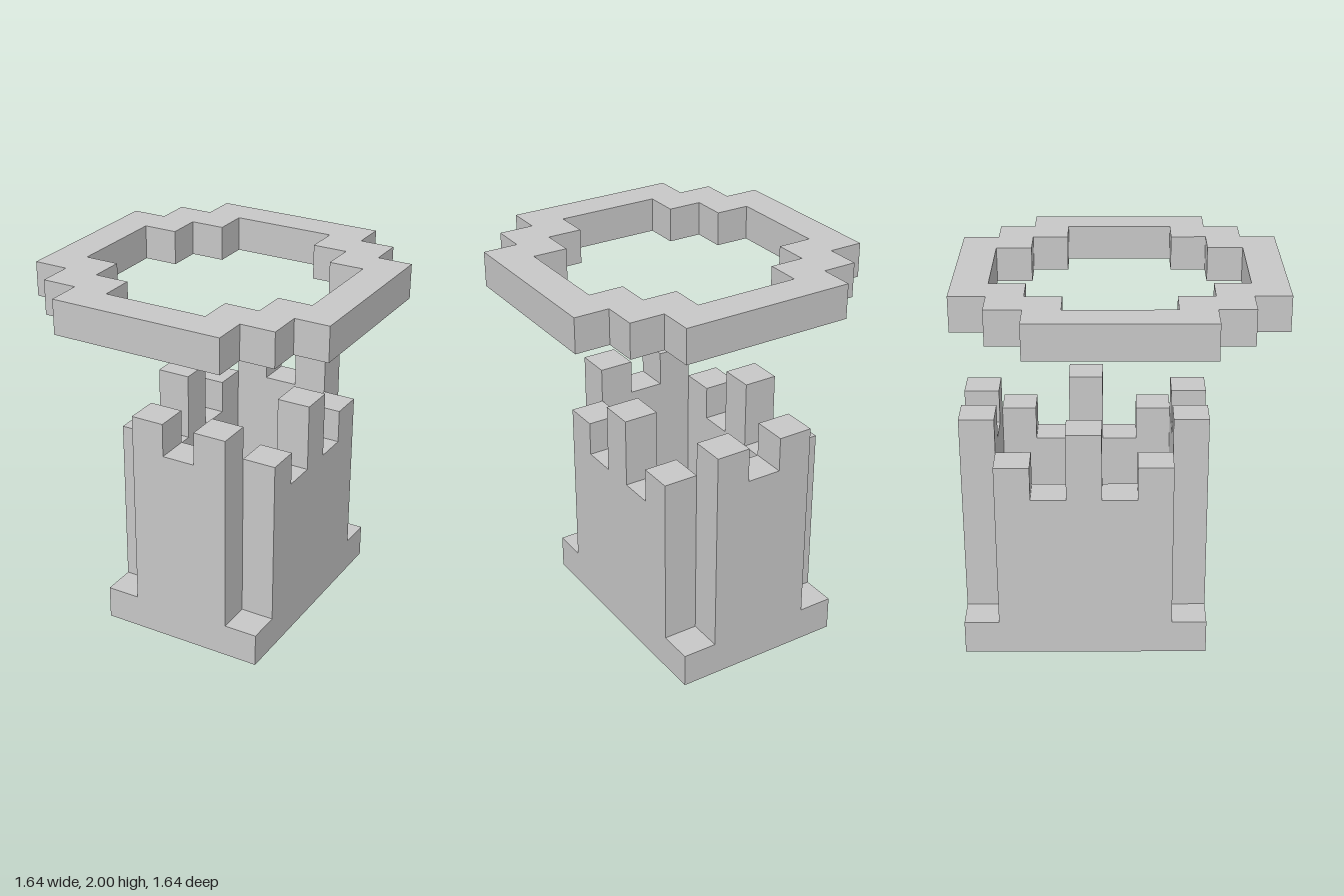
import * as THREE from 'three';

const U = 2 / 11; // one block

// Extrude a clockwise block outline along z, centred on z = 0; the hole runs the other way
function slab(points, depth, hole) {
  const toVec = ([x, y]) => new THREE.Vector2(x * U, y * U);
  const shape = new THREE.Shape(points.map(toVec));
  if (hole) shape.holes.push(new THREE.Path(hole.map(toVec).reverse()));
  const geo = new THREE.ExtrudeGeometry(shape, { depth: depth * U, bevelEnabled: false });
  return geo.translate(0, 0, -depth * U / 2);
}

// Mirror a quarter outline into a closed clockwise loop
function fourfold(quarter) {
  const back = [...quarter].reverse();
  return [
    ...quarter,
    ...back.map(([x, y]) => [x, -y]),
    ...quarter.map(([x, y]) => [-x, -y]),
    ...back.map(([x, y]) => [-x, y]),
  ];
}

// Wall outline from a list of column heights, standing on the base
function crenellated(heights) {
  const half = heights.length / 2;
  const points = [[-half, 1]];
  heights.forEach((h, i) => points.push([i - half, h], [i + 1 - half, h]));
  points.push([half, 1]);
  return points;
}

export function createModel() {
  const group = new THREE.Group();
  const stone = new THREE.MeshStandardMaterial({ color: 0xc8c8c8 });
  stone.name = 'stone grey';

  const add = (name, geo, x, y, z) => {
    const mesh = new THREE.Mesh(geo, stone);
    mesh.name = name;
    mesh.position.set(x * U, y * U, z * U);
    group.add(mesh);
  };

  const towerZ = -1; // the tower sits one block behind the ring's centre

  // Hollow rectangular base
  const base = slab(fourfold([[2.5, 3.5]]), 1, fourfold([[1.5, 2.5]]));
  add('base', base.rotateX(-Math.PI / 2), 0, 0.5, towerZ);

  // Front and back walls, side walls; the corners stay open
  const endWall = slab(crenellated([7, 6, 7]), 1);
  const sideWall = slab(crenellated([6, 5, 7, 5, 6]), 1).rotateY(Math.PI / 2);
  add('frontWall', endWall, 0, 0, towerZ + 3);
  add('backWall', endWall, 0, 0, towerZ - 3);
  add('leftWall', sideWall, 2, 0, towerZ);
  add('rightWall', sideWall, -2, 0, towerZ);

  // Floating stepped ring
  const outer = fourfold([[2.5, 4.5], [2.5, 3.5], [3.5, 3.5], [3.5, 2.5], [4.5, 2.5]]);
  const inner = fourfold([[1.5, 3.5], [1.5, 2.5], [2.5, 2.5], [2.5, 1.5], [3.5, 1.5]]);
  add('floatingRing', slab(outer, 1, inner).rotateX(-Math.PI / 2), 0, 10.5, 0);

  return group;
}
